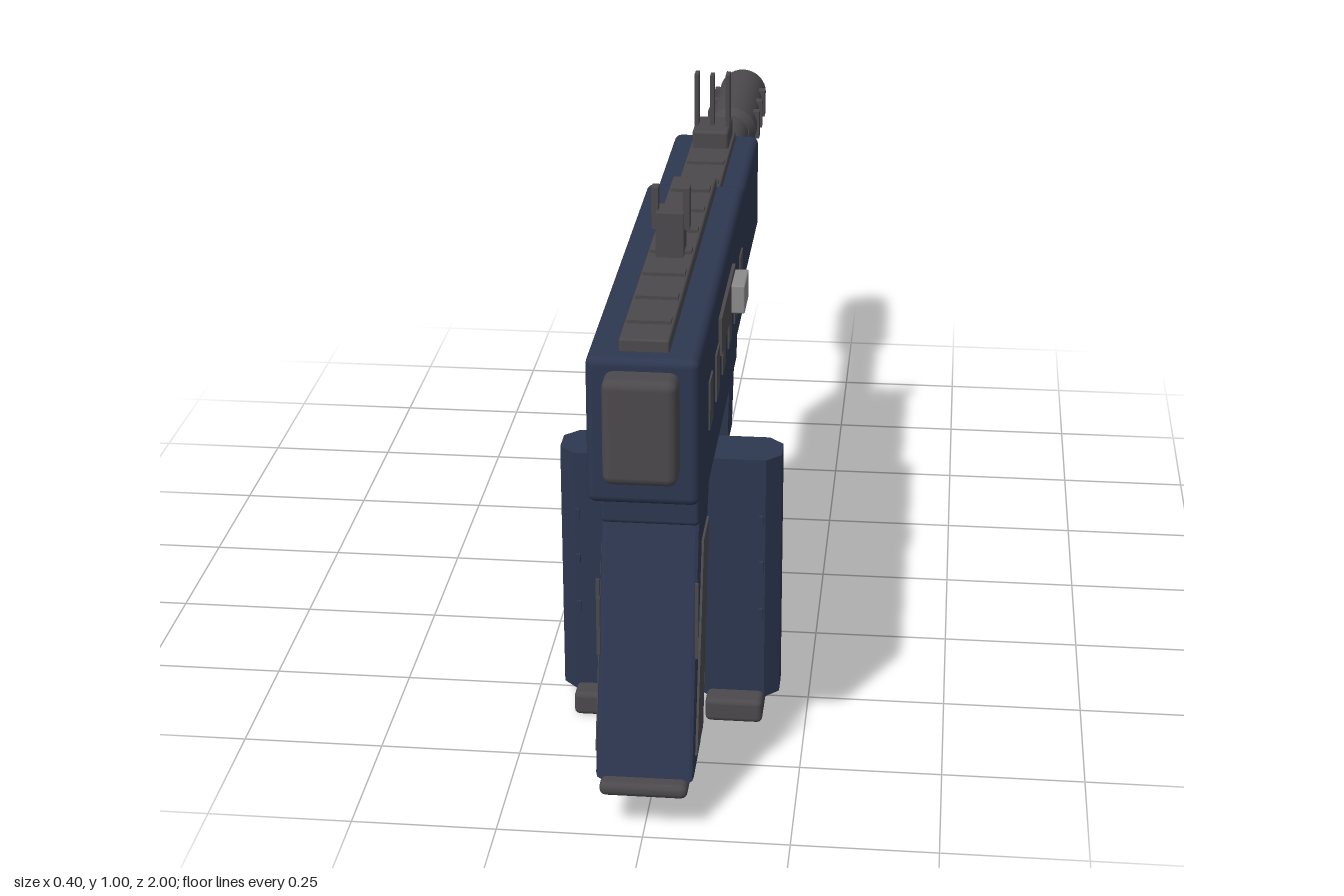
import * as THREE from 'three';
import { RoundedBoxGeometry } from 'three/addons/geometries/RoundedBoxGeometry.js';

const paint = (name, color) => Object.assign(new THREE.MeshStandardMaterial({ color }), { name });

export function createModel() {
  const model = new THREE.Group();
  model.name = 'compactCarbine';
  const navy = paint('navy', 0x2d3750);
  const grey = paint('gunmetal', 0x4b494c);
  const light = paint('lightSteel', 0x8b8b8b);

  const add = (name, geometry, material) => {
    const mesh = new THREE.Mesh(geometry, material);
    mesh.name = name;
    model.add(mesh);
    return mesh;
  };

  // Box given by its limits on each axis, with optional softened edges
  const block = (name, material, [x0, x1], [y0, y1], [z0, z1], bevel = 0) => {
    const size = [x1 - x0, y1 - y0, z1 - z0];
    const geo = bevel ? new RoundedBoxGeometry(...size, 2, bevel) : new THREE.BoxGeometry(...size);
    add(name, geo, material).position.set((x0 + x1) / 2, (y0 + y1) / 2, (z0 + z1) / 2);
  };

  // Side profile in (z, y), extruded across x
  const profile = (name, material, points, width, x = 0, bevel = 0) => {
    const shape = new THREE.Shape(points.map(p => new THREE.Vector2(...p)));
    const depth = width - 2 * bevel;
    const geo = new THREE.ExtrudeGeometry(shape, {
      depth, bevelEnabled: bevel > 0, bevelSize: bevel, bevelThickness: bevel,
      bevelOffset: -bevel, bevelSegments: 2,
    });
    geo.translate(0, 0, -depth / 2).rotateY(-Math.PI / 2);
    add(name, geo, material).position.x = x;
  };

  // Receiver bodies
  block('receiver', navy, [-0.092, 0.092], [0.597, 0.853], [0.08, 0.953], 0.014);
  block('foreReceiver', navy, [-0.085, 0.085], [0.617, 0.815], [-0.35, 0.1], 0.014);
  block('lowerReceiver', navy, [-0.083, 0.083], [0.518, 0.61], [0.125, 0.862], 0.008);
  block('buttPlate', grey, [-0.061, 0.061], [0.65, 0.833], [0.94, 1], 0.016);

  // Top rails with raised ribs
  const rail = (name, y, top, z0, z1, ribs) => {
    block(name, grey, [-0.041, 0.041], [y, top], [z0, z1], 0.004);
    ribs.forEach(z => block(name + 'Rib', grey, [-0.036, 0.036], [top - 0.005, top + 0.006], [z - 0.012, z + 0.012]));
  };
  rail('rearRail', 0.845, 0.874, 0.1, 0.92, [0.18, 0.29, 0.4, 0.51, 0.62, 0.73, 0.84]);
  rail('frontRail', 0.805, 0.832, -0.32, 0.08, [-0.11, 0.01]);

  // Sights
  block('rearSightBlock', grey, [-0.024, 0.024], [0.87, 0.954], [0.488, 0.542]);
  block('frontSightBase', grey, [-0.036, 0.036], [0.82, 0.867], [-0.305, -0.2], 0.006);
  block('frontSightPost', grey, [-0.004, 0.004], [0.86, 0.97], [-0.262, -0.24]);
  for (const s of [-1, 1]) {
    const span = (a, b) => [Math.min(s * a, s * b), Math.max(s * a, s * b)];
    block('rearSightProng', grey, span(0.021, 0.033), [0.92, 0.995], [0.503, 0.527]);
    block('frontSightWing', grey, span(0.027, 0.035), [0.86, 0.972], [-0.268, -0.236]);
  }

  // Side plates and charging handle on the left flank
  for (let i = 0; i < 6; i++) {
    const z = 0.172 + i * 0.12;
    block('sideVent', grey, [0.09, 0.095], [0.666, 0.752], [z - 0.027, z + 0.027]);
  }
  block('boltPlate', grey, [0.09, 0.098], [0.727, 0.795], [0.348, 0.62]);
  block('chargingHandle', light, [0.096, 0.122], [0.732, 0.785], [0.348, 0.434], 0.003);

  // Barrel and muzzle
  const tube = (name, r0, r1, z0, z1) => {
    const geo = new THREE.CylinderGeometry(r1, r0, z0 - z1, 32).rotateX(-Math.PI / 2);
    add(name, geo, grey).position.set(0, 0.71, (z0 + z1) / 2);
  };
  tube('barrel', 0.038, 0.038, -0.34, -0.71);
  tube('muzzleCollar', 0.04, 0.052, -0.68, -0.705);
  tube('muzzleBrake', 0.052, 0.052, -0.705, -1);
  for (const z of [-0.76, -0.84, -0.92]) {
    block('muzzlePort', grey, [-0.056, 0.056], [0.68, 0.74], [z - 0.012, z + 0.012]);
  }

  // Rear grip with side panels
  profile('grip', navy, [[0.84, 0.54], [0.685, 0.54], [0.69, 0.515], [0.725, 0.46], [0.836, 0.09], [0.967, 0.09]], 0.166, 0, 0.008);
  block('gripCap', grey, [-0.075, 0.075], [0.069, 0.095], [0.81, 0.992], 0.012);
  for (const s of [-1, 1]) {
    profile('gripPanel', grey, [[0.82, 0.475], [0.73, 0.475], [0.835, 0.125], [0.935, 0.125]], 0.008, s * 0.083);
    block('gripPin', grey, [s * 0.083 - 0.003, s * 0.083 + 0.003], [0.295, 0.435], [0.903, 0.908]);
    block('gripPin', grey, [s * 0.083 - 0.003, s * 0.083 + 0.003], [0.18, 0.295], [0.785, 0.79]);
  }

  // Trigger and guard
  profile('triggerGuard', navy, [[0.7, 0.367], [0.7, 0.355], [0.408, 0.355], [0.408, 0.53], [0.428, 0.53], [0.428, 0.395], [0.465, 0.367]], 0.05);
  profile('trigger', grey, [[0.56, 0.53], [0.52, 0.53], [0.51, 0.47], [0.53, 0.41], [0.545, 0.41], [0.538, 0.47]], 0.024);

  // Tapered foregrip
  const foregrip = new THREE.CylinderGeometry(Math.SQRT1_2, Math.SQRT1_2, 0.375, 4, 1).rotateY(Math.PI / 4).toNonIndexed();
  const p = foregrip.attributes.position;
  for (let i = 0; i < p.count; i++) {
    const top = p.getY(i) > 0;
    p.setX(i, p.getX(i) * (top ? 0.118 : 0.1));
    p.setZ(i, p.getZ(i) * (top ? 0.134 : 0.1));
  }
  foregrip.computeVertexNormals();
  add('foregrip', foregrip, navy).position.set(0, 0.4425, -0.104);

  // Paired magazines with chamfered corners, foot plates and studs
  const c = 0.026, w = 0.078, d = 0.05;
  const section = new THREE.Shape([
    [w - c, -d], [w, -d + c], [w, d - c], [w - c, d], [c - w, d], [-w, d - c], [-w, c - w + w - d], [c - w, -d],
  ].map(q => new THREE.Vector2(...q)));
  for (const s of [-1, 1]) {
    const geo = new THREE.ExtrudeGeometry(section, { depth: 0.475, bevelEnabled: false }).rotateX(-Math.PI / 2);
    add('magazine', geo, navy).position.set(s * 0.12, 0.033, 0.515);
    block('magazineFoot', grey, [s * 0.12 - 0.052, s * 0.12 + 0.052], [0, 0.045], [0.423, 0.607], 0.01);
    for (const y of [0.205, 0.3, 0.39]) {
      block('magazineStud', navy, [s * 0.165 - 0.004, s * 0.165 + 0.004], [y - 0.01, y + 0.01], [0.458, 0.572]);
    }
  }
  return model;
}
